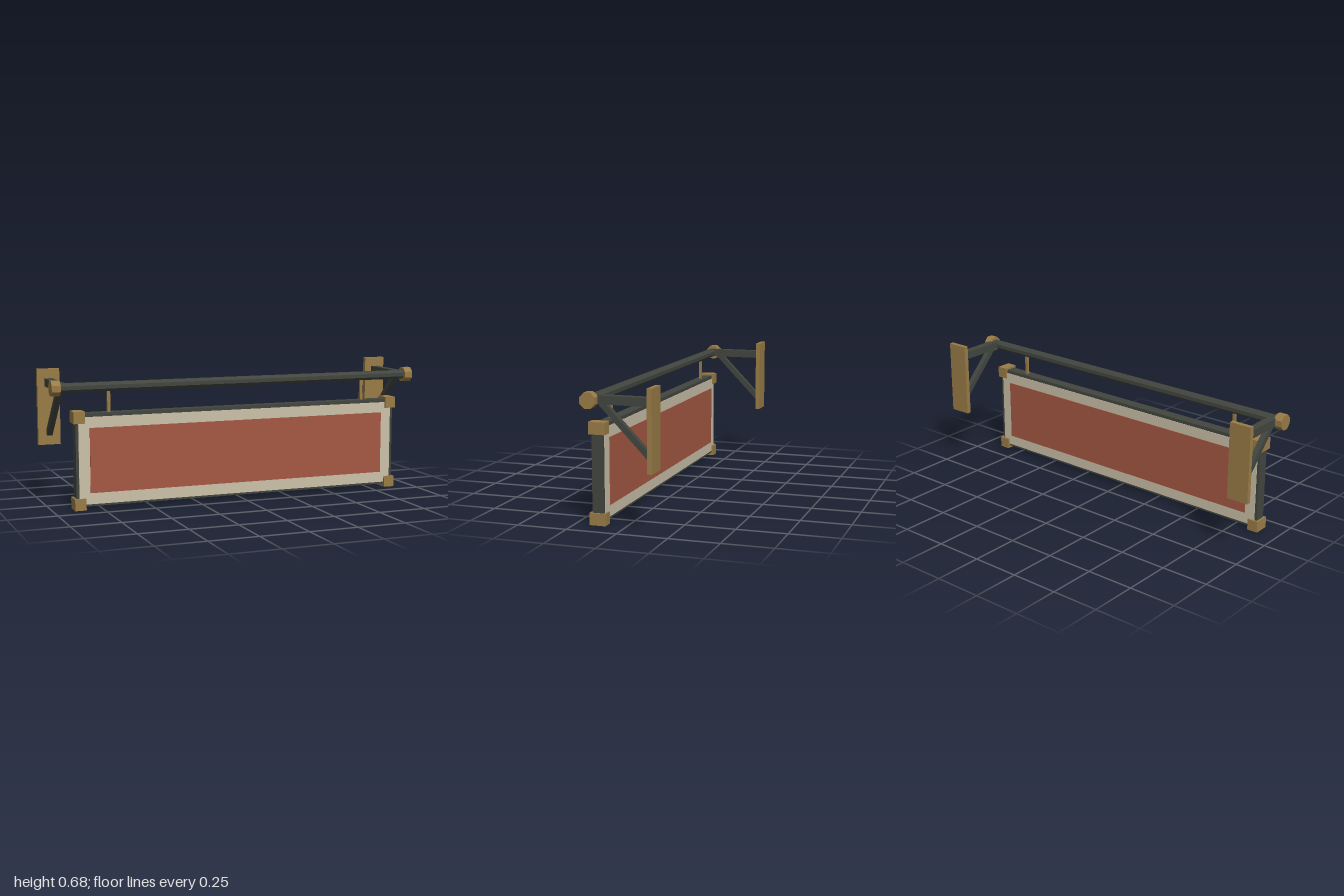
import * as THREE from 'three';

const mat = (color) => new THREE.MeshStandardMaterial({ color, flatShading: true });

export function createModel() {
  const root = new THREE.Group();
  const brass = mat(0x9a7c47), iron = mat(0x42463f), cream = mat(0xcdc2aa), red = mat(0xa65843);
  const Z = 0.136; // plane of the rod and the sign

  const add = (name, geometry, material, x, y, z) => {
    const mesh = new THREE.Mesh(geometry, material);
    mesh.name = name;
    mesh.position.set(x, y, z);
    root.add(mesh);
    return mesh;
  };
  const box = (name, material, w, h, d, x, y, z) =>
    add(name, new THREE.BoxGeometry(w, h, d), material, x, y, z);

  // Octagonal bar along x, with flats facing up and forward
  const octBar = (name, material, apothem, length, x, y, z) => {
    const g = new THREE.CylinderGeometry(apothem / Math.cos(Math.PI / 8), apothem / Math.cos(Math.PI / 8), length, 8);
    g.rotateY(Math.PI / 8).rotateZ(Math.PI / 2);
    return add(name, g, material, x, y, z);
  };

  // Hanging rod
  octBar('rod', iron, 0.023, 1.94, 0, 0.613, Z);

  // Sign board: border panel with a raised field on both faces
  box('borderPanel', cream, 1.74, 0.44, 0.063, 0, 0.2475, Z);
  box('signField', red, 1.626, 0.328, 0.07, 0, 0.2485, Z);

  // Frame rails
  for (const [name, y] of [['bottomRail', 0.034], ['topRail', 0.468]])
    box(name, iron, 1.74, 0.034, 0.058, 0, y, Z);

  for (const s of [1, -1]) {
    const side = s > 0 ? 'left' : 'right';

    // Frame stile and corner blocks
    box(side + 'Stile', iron, 0.034, 0.45, 0.058, s * 0.867, 0.2475, Z);
    for (const [name, y] of [['BottomCorner', 0.0295], ['TopCorner', 0.466]])
      box(side + name, brass, 0.058, 0.059, 0.082, s * 0.866, y, Z);

    // Hanger between rod and frame
    box(side + 'Hanger', brass, 0.016, 0.13, 0.0145, s * 0.706, 0.54, Z);

    // Rod end cap
    octBar(side + 'EndCap', brass, 0.0378, 0.045, s * 0.9775, 0.613, Z);

    // Wall bracket: plate, arm and diagonal brace
    box(side + 'WallPlate', brass, 0.116, 0.393, 0.024, s * 0.942, 0.4865, -0.165);
    box(side + 'Arm', iron, 0.042, 0.041, 0.289, s * 0.942, 0.6135, -0.0085);
    const from = new THREE.Vector3(s * 0.942, 0.613, 0.1);
    const to = new THREE.Vector3(s * 0.942, 0.348, -0.158);
    const mid = from.clone().lerp(to, 0.5);
    const brace = box(side + 'Brace', iron, 0.029, 0.029, from.distanceTo(to), mid.x, mid.y, mid.z);
    brace.lookAt(to);
  }
  return root;
}
